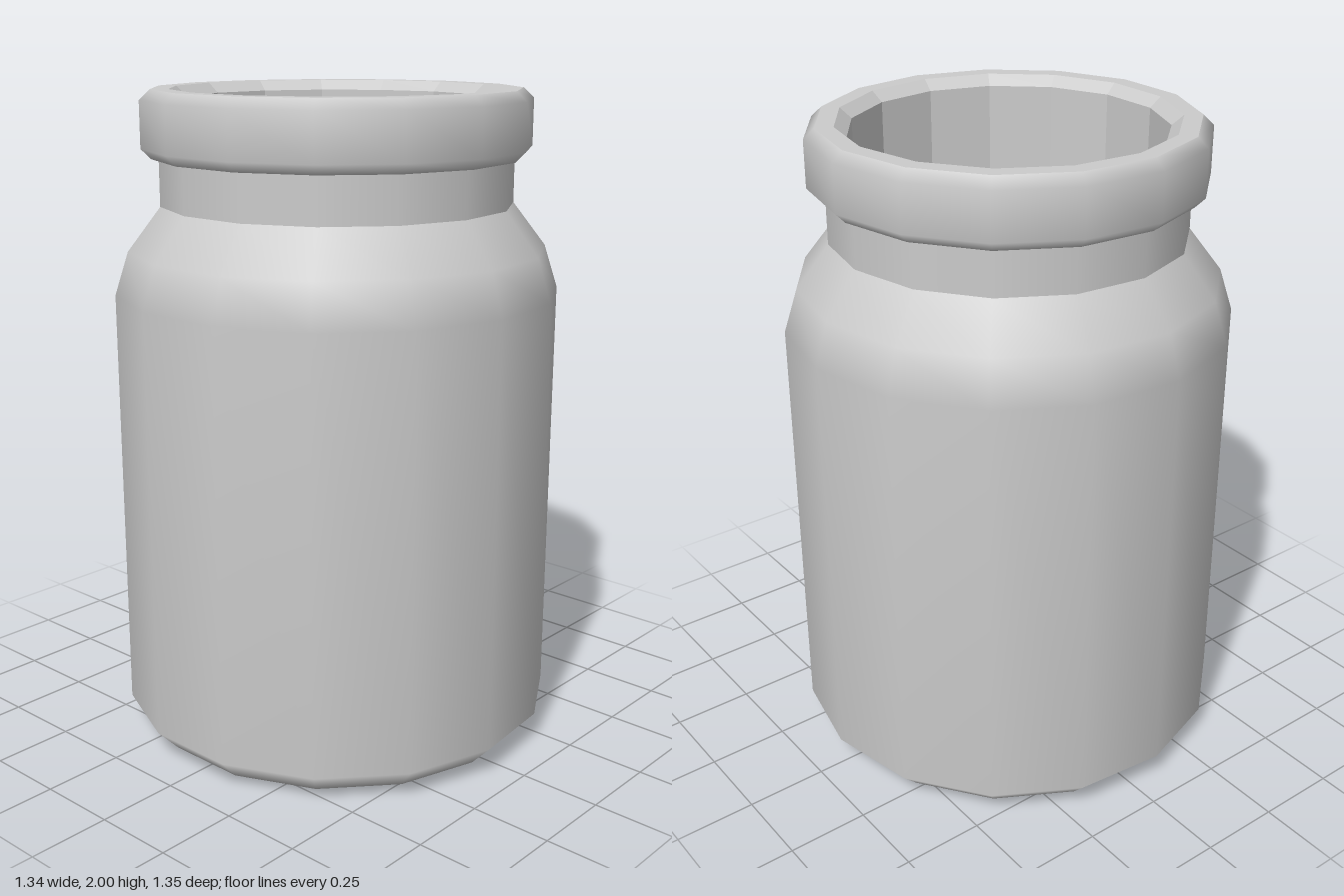
import * as THREE from 'three';

const SIDES = 15;

// Surface of revolution with a corner pointing to +x
function ring(name, profile, flat = false) {
  const points = profile.map(([r, y]) => new THREE.Vector2(r, y));
  const geometry = new THREE.LatheGeometry(points, SIDES, Math.PI / 2);
  const material = new THREE.MeshStandardMaterial({
    color: 0xcccccc, flatShading: flat, side: THREE.DoubleSide,
  });
  const mesh = new THREE.Mesh(geometry, material);
  mesh.name = name;
  return mesh;
}

export function createModel() {
  const jar = new THREE.Group();
  jar.name = 'jar';

  // Base, straight wall and rounded shoulder in one smooth shell
  jar.add(ring('body', [
    [0, 0], [0.45, 0], [0.61, 0.02], [0.677, 0.09],
    [0.677, 1.4], [0.635, 1.53], [0.535, 1.66],
  ]));

  // Straight neck, with a sharp edge against the shoulder
  jar.add(ring('neck', [[0.535, 1.66], [0.535, 1.8]]));

  // Thick bevelled collar
  jar.add(ring('collar', [
    [0.535, 1.8], [0.557, 1.8], [0.587, 1.83], [0.587, 1.97], [0.555, 2],
  ]));

  // Flat lip, bevelled inward
  jar.add(ring('lip', [[0.555, 2], [0.5, 2]]));
  jar.add(ring('lipBevel', [[0.5, 2], [0.465, 1.97]], true));

  // Faceted inside of the mouth, open to the hollow body
  jar.add(ring('mouth', [[0.465, 1.97], [0.465, 1.66]], true));

  // An odd number of sides needs a small shift to be centred
  jar.children.forEach((part) => { part.position.x = -0.007; });
  return jar;
}
